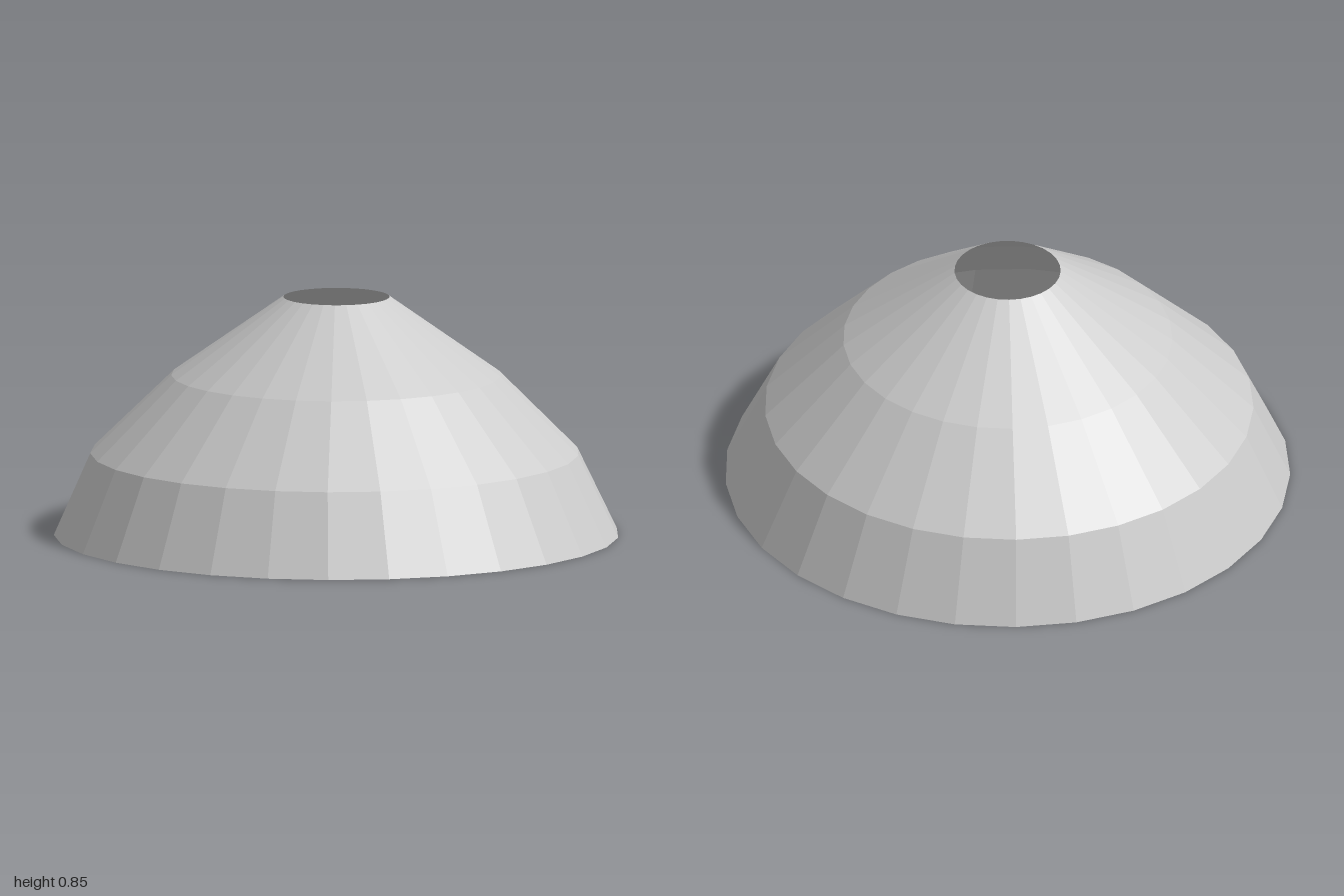
import * as THREE from 'three';

// Rings from rim to top hole: radius, height, sideways shift in x and z
const RINGS = [
  [1.0, 0, 0, 0],
  [0.865, 0.29, -0.014, -0.004],
  [0.583, 0.57, -0.007, -0.004],
  [0.188, 0.85, 0, 0],
];
const STEPS = 29;
const STEP_ANGLE = THREE.MathUtils.degToRad(13);

export function createModel() {
  const group = new THREE.Group();
  group.name = 'lampShade';

  // Faceted open shell of 29 panels, whose ends overlap a little at the seam
  const profile = RINGS.map(([r, y]) => new THREE.Vector2(r, y));
  const sweep = STEPS * STEP_ANGLE;
  const geometry = new THREE.LatheGeometry(profile, STEPS, Math.PI / 2 - sweep, sweep);

  // Nudge the middle rings slightly off centre
  const pos = geometry.attributes.position;
  for (let i = 0; i < pos.count; i++) {
    const [, , dx, dz] = RINGS[i % RINGS.length];
    pos.setX(i, pos.getX(i) + dx);
    pos.setZ(i, pos.getZ(i) + dz);
  }

  const material = new THREE.MeshStandardMaterial({
    color: 0xcccccc,
    flatShading: true,
    side: THREE.DoubleSide,
  });
  const shade = new THREE.Mesh(geometry, material);
  shade.name = 'shade';
  group.add(shade);
  return group;
}
